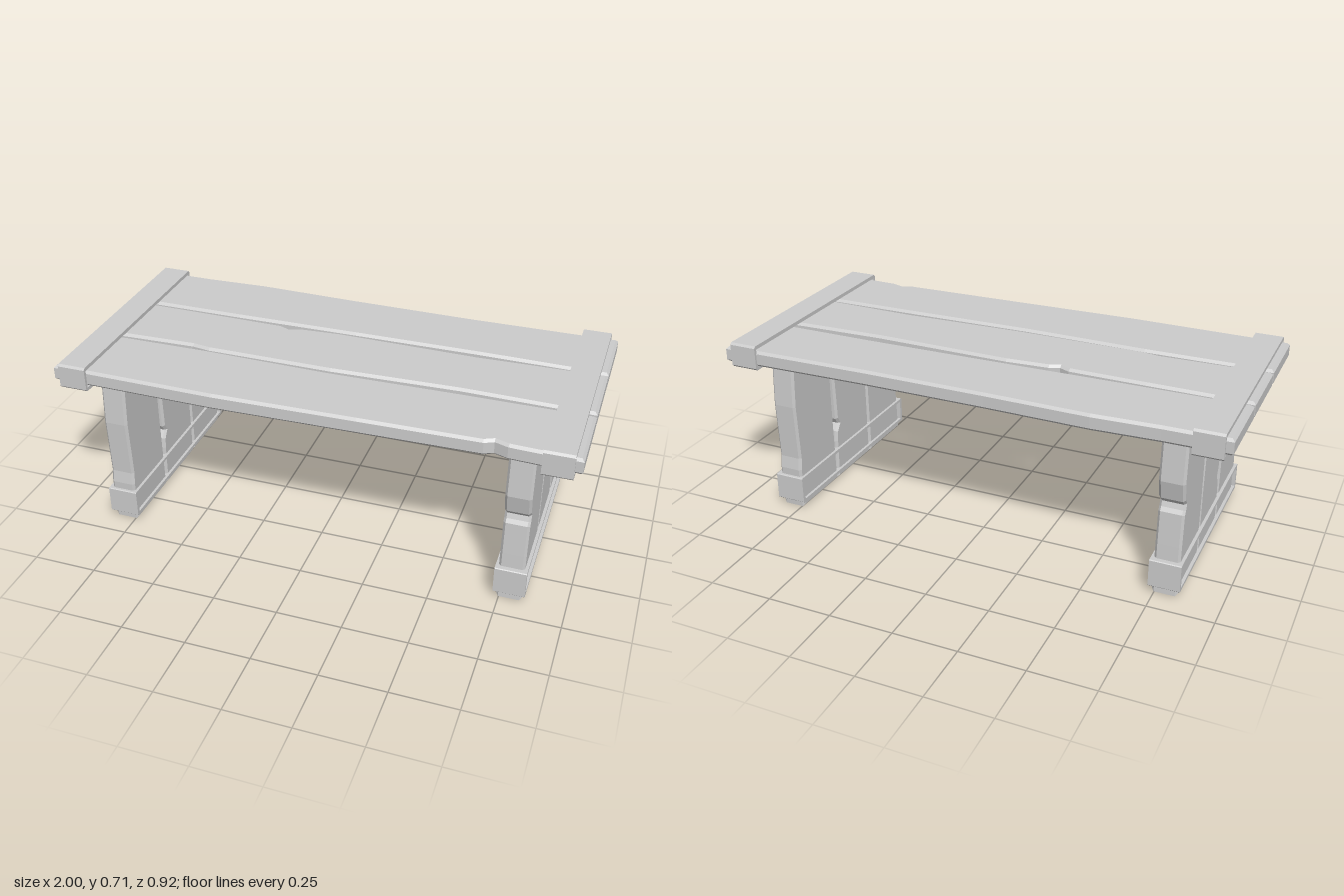
import * as THREE from 'three';

const material = new THREE.MeshStandardMaterial({ color: 0xcccccc, flatShading: true });

function add(parent, name, geometry) {
  const mesh = new THREE.Mesh(geometry, material);
  mesh.name = name;
  parent.add(mesh);
  return mesh;
}

// Chamfered slab cut from an outline, extruded from 0 to depth
function slab(points, depth, bevel = 0.01) {
  const shape = new THREE.Shape(points.map(([x, y]) => new THREE.Vector2(x, y)));
  return new THREE.ExtrudeGeometry(shape, {
    depth: depth - 2 * bevel, bevelEnabled: true, bevelThickness: bevel,
    bevelSize: bevel, bevelOffset: -bevel, bevelSegments: 1,
  }).translate(0, 0, bevel);
}

// Rectangular strap running round the boards, open through its middle
function strap(halfZ, y0, y1, wallZ, wallY, x0, x1, chamfer) {
  const c = chamfer;
  const shape = new THREE.Shape([
    [-halfZ + c, y0], [halfZ - c, y0], [halfZ, y0 + c], [halfZ, y1 - c],
    [halfZ - c, y1], [-halfZ + c, y1], [-halfZ, y1 - c], [-halfZ, y0 + c],
  ].map(([x, y]) => new THREE.Vector2(x, y)));
  const z = halfZ - wallZ, a = y0 + wallY, b = y1 - wallY;
  shape.holes.push(new THREE.Path(
    [[-z, a], [-z, b], [z, b], [z, a]].map(([x, y]) => new THREE.Vector2(x, y))));
  return new THREE.ExtrudeGeometry(shape, { depth: x1 - x0, bevelEnabled: false })
    .rotateY(Math.PI / 2).translate(x0, 0, 0);
}

// Board outlines: each edge is a list of [distance along board, z]
const topBoards = [
  { name: 'backTopBoard', tilt: -0.003, y: 0.627,
    a: [[-0.998, -0.452], [-0.75, -0.452], [-0.5, -0.462], [-0.1, -0.452], [0.4, -0.447], [0.998, -0.455]],
    b: [[0.998, -0.165], [0.5, -0.171], [0, -0.168], [-0.5, -0.163], [-0.998, -0.163]] },
  { name: 'middleTopBoard', tilt: 0, y: 0.63,
    a: [[-0.998, -0.148], [-0.6, -0.143], [-0.3, -0.137], [-0.26, -0.12], [-0.22, -0.135], [-0.05, -0.146],
      [0.5, -0.134], [0.998, -0.148]],
    b: [[0.998, 0.138], [0.5, 0.127], [0, 0.142], [-0.5, 0.137], [-0.57, 0.126], [-0.998, 0.138]] },
  { name: 'frontTopBoard', tilt: 0, y: 0.63,
    a: [[-0.998, 0.153], [-0.5, 0.15], [0, 0.162], [0.5, 0.155], [0.998, 0.153]],
    b: [[0.998, 0.448], [0.74, 0.437], [0.69, 0.42], [0.655, 0.437], [0.2, 0.446], [-0.35, 0.458], [-0.998, 0.448]] },
];

const legBoards = [
  { name: 'frontLegBoard',
    a: [[0, 0.402], [0.2, 0.394], [0.33, 0.387], [0.345, 0.377], [0.365, 0.37], [0.385, 0.388], [0.46, 0.406], [0.633, 0.397]],
    b: [[0.633, 0.139], [0.3, 0.137], [0, 0.138]] },
  { name: 'middleLegBoard',
    a: [[0, 0.131], [0.3, 0.134], [0.47, 0.126], [0.52, 0.115], [0.56, 0.122], [0.6, 0.131], [0.633, 0.131]],
    b: [[0.633, -0.124], [0.45, -0.12], [0.27, -0.115], [0.245, -0.1], [0.215, -0.121], [0.17, -0.127], [0, -0.131]] },
  { name: 'backLegBoard',
    a: [[0, -0.138], [0.35, -0.14], [0.633, -0.136]],
    b: [[0.633, -0.397], [0.45, -0.408], [0.22, -0.399], [0.17, -0.406], [0, -0.4]] },
];

// One trestle leg on the +x side
function createLeg(name) {
  const leg = new THREE.Group();
  leg.name = name;
  for (const { name: board, a, b } of legBoards) {
    const outline = [...a, ...b].map(([y, z]) => [-z, y]);
    add(leg, board, slab(outline, 0.097, 0.009).rotateY(Math.PI / 2).translate(0.739, 0, 0));
  }
  add(leg, 'footStrap', strap(0.417, 0.03, 0.14, 0.014, 0.012, 0.728, 0.848, 0.003));
  return leg;
}

export function createModel() {
  const table = new THREE.Group();
  table.name = 'plankTable';

  // Table top of three worn boards
  const top = new THREE.Group();
  top.name = 'tableTop';
  table.add(top);
  for (const { name, tilt, y, a, b } of topBoards) {
    const outline = [...a, ...b].map(([x, z]) => [x, -z]);
    const board = add(top, name, slab(outline, 0.063).rotateX(-Math.PI / 2));
    board.position.y = y;
    board.rotation.z = tilt;
  }

  // Straps round both ends of the top
  const endStrap = strap(0.462, 0.61, 0.71, 0.012, 0.015, 0.86, 0.97, 0.008);
  add(top, 'leftEndStrap', endStrap);
  add(top, 'rightEndStrap', endStrap).rotation.y = Math.PI;

  // The second leg is the first turned half round
  table.add(createLeg('leftLeg'));
  const rightLeg = createLeg('rightLeg');
  rightLeg.rotation.y = Math.PI;
  table.add(rightLeg);
  return table;
}
